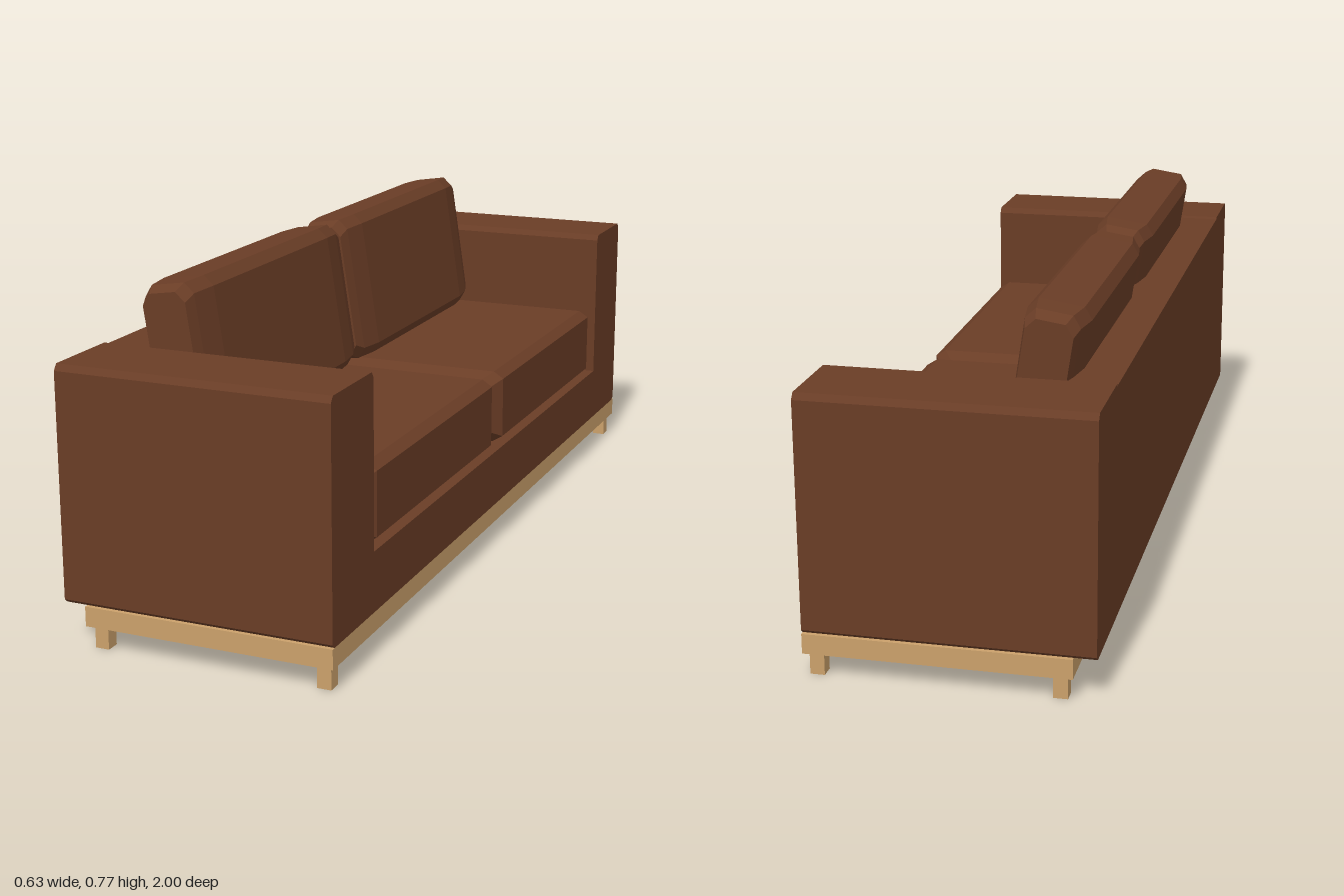
import * as THREE from 'three';

const leather = new THREE.MeshStandardMaterial({ color: 0x6a3d26, flatShading: true });
const wood = new THREE.MeshStandardMaterial({ color: 0xcba16b, flatShading: true });

function add(parent, name, geometry, material, x = 0, y = 0, z = 0) {
  const mesh = new THREE.Mesh(geometry, material);
  mesh.name = name;
  mesh.position.set(x, y, z);
  parent.add(mesh);
  return mesh;
}

// Box given by its limits on each axis
function block(parent, name, material, [x0, x1], [y0, y1], [z0, z1]) {
  return add(parent, name, new THREE.BoxGeometry(x1 - x0, y1 - y0, z1 - z0), material,
    (x0 + x1) / 2, (y0 + y1) / 2, (z0 + z1) / 2);
}

// Cushion lofted along z through chamfered rectangles.
// Each section is [inset from the end, half width, half height].
function cushionGeometry(length, sections, cx, cy) {
  const half = length / 2;
  const rings = [
    ...sections.map(([inset, w, h]) => [-half + inset, w, h]),
    ...sections.slice().reverse().map(([inset, w, h]) => [half - inset, w, h]),
  ];
  const positions = [];
  const index = [];
  for (const [z, w, h] of rings) {
    const ring = [[w, -h + cy], [w, h - cy], [w - cx, h], [-w + cx, h],
      [-w, h - cy], [-w, -h + cy], [-w + cx, -h], [w - cx, -h]];
    for (const [x, y] of ring) positions.push(x, y, z);
  }
  const n = 8;
  for (let r = 0; r < rings.length - 1; r++) {
    for (let i = 0; i < n; i++) {
      const a = r * n + i;
      const b = r * n + (i + 1) % n;
      index.push(a, b, b + n, a, b + n, a + n);
    }
  }
  // End faces
  const last = (rings.length - 1) * n;
  for (let i = 1; i < n - 1; i++) {
    index.push(0, i + 1, i, last, last + i, last + i + 1);
  }
  const geometry = new THREE.BufferGeometry();
  geometry.setAttribute('position', new THREE.Float32BufferAttribute(positions, 3));
  geometry.setIndex(index);
  const flat = geometry.toNonIndexed();
  flat.computeVertexNormals();
  return flat;
}

export function createModel() {
  const sofa = new THREE.Group();
  sofa.name = 'sofa';

  // Arms and seat base: one U profile with chamfered edges, run front to back
  const c = 0.01;
  const right = [[1 - c, 0.098], [1, 0.107], [1, 0.613], [1 - c, 0.627],
    [0.79 + c, 0.627], [0.79, 0.613], [0.79, 0.235]];
  const left = right.map(([z, y]) => [-z, y]).reverse();
  const profile = new THREE.Shape([...right, ...left].map(([z, y]) => new THREE.Vector2(z, y)));
  const frame = new THREE.ExtrudeGeometry(profile, { depth: 0.63, bevelEnabled: false });
  frame.rotateY(Math.PI / 2);
  add(sofa, 'armsAndSeatBase', frame, leather, -0.315);

  // Back panel between the arms
  block(sofa, 'backPanel', leather, [-0.315, -0.21], [0.2, 0.622], [-0.795, 0.795]);

  // Wooden plinth and legs
  block(sofa, 'plinth', wood, [-0.265, 0.315], [0.053, 0.098], [-1, 1]);
  for (const side of [-1, 1]) {
    for (const [name, x] of [['frontLeg', 0.288], ['backLeg', -0.236]]) {
      add(sofa, name, new THREE.BoxGeometry(0.032, 0.053, 0.032), wood, x, 0.0265, side * 0.968);
    }
  }

  // Seat and back cushions, one pair on each side
  const seat = cushionGeometry(0.78, [[0, 0.23, 0.072], [0.035, 0.255, 0.09]], 0.025, 0.016);
  const back = cushionGeometry(0.785,
    [[0, 0.052, 0.164], [0.03, 0.06, 0.178], [0.1, 0.07, 0.18]], 0.02, 0.025);
  for (const side of [-1, 1]) {
    add(sofa, 'seatCushion', seat, leather, 0.05, 0.326, side * 0.396);
    const cushion = add(sofa, 'backCushion', back, leather, -0.149, 0.585, side * 0.398);
    cushion.rotation.z = 0.152;
  }

  return sofa;
}
